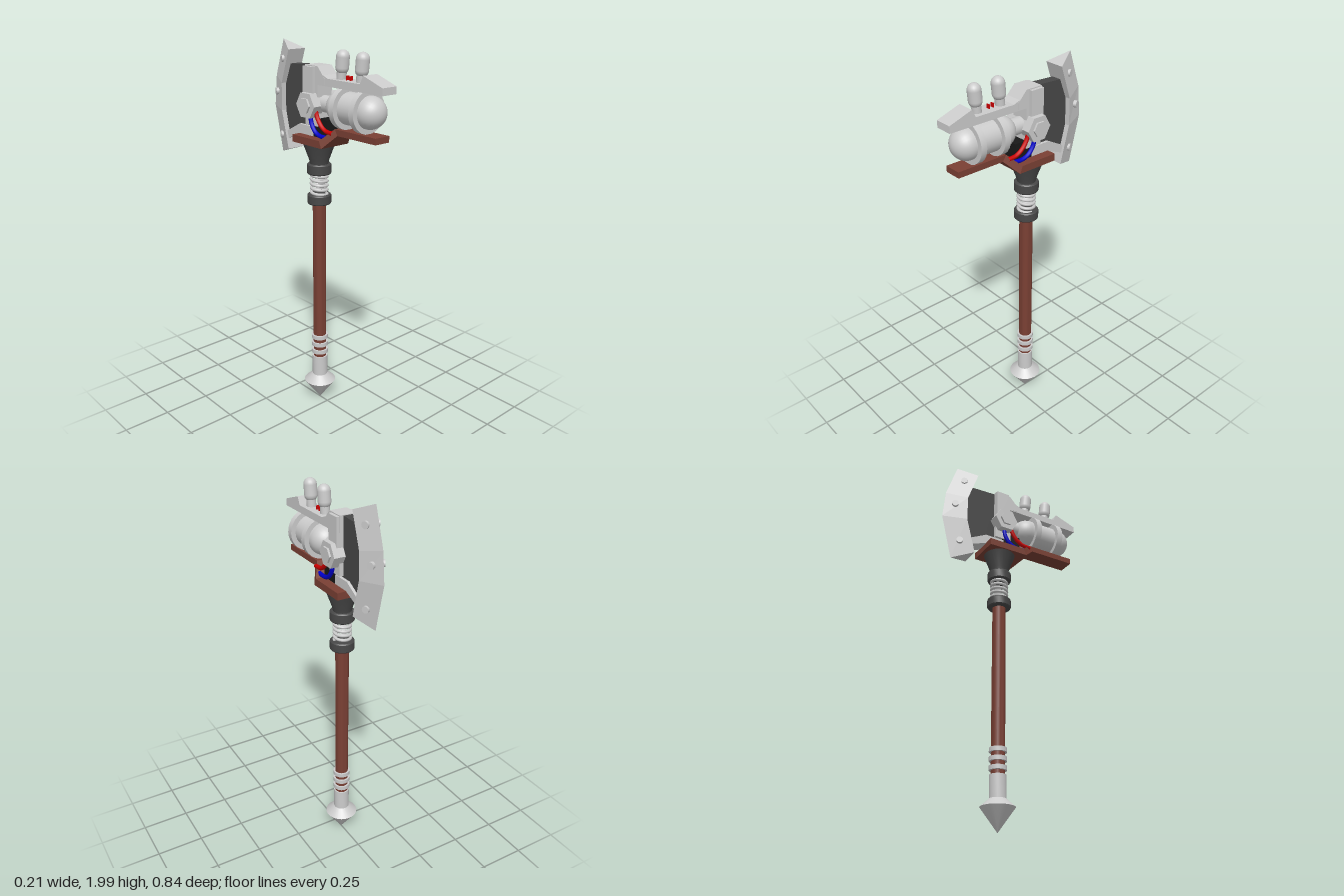
import * as THREE from 'three';
import { toCreasedNormals } from 'three/addons/utils/BufferGeometryUtils.js';

const AXIS_Z = -0.063; // handle axis
const mat = (color) => new THREE.MeshStandardMaterial({ color, side: THREE.DoubleSide });

export function createModel() {
  const root = new THREE.Group();
  const grey = mat(0xcccccc), dark = mat(0x484848), black = mat(0x181818);
  const brown = mat(0x7a4034), red = mat(0xcc0000), blue = mat(0x0000cc);

  const add = (name, geo, material, x = 0, y = 0, z = 0) => {
    const m = new THREE.Mesh(geo, material);
    m.name = name;
    m.position.set(x, y, z);
    root.add(m);
    return m;
  };
  // turned part around the handle axis, points are [radius, y]
  const turned = (name, pts, material, seg = 24) => add(name, toCreasedNormals(
    new THREE.LatheGeometry(pts.map((p) => new THREE.Vector2(...p)), seg), 0.6), material, 0, 0, AXIS_Z);
  // plate cut from a [z, y] outline, centred on x
  const plate = (pts, width) => {
    const shape = new THREE.Shape(pts.map((p) => new THREE.Vector2(...p)));
    return new THREE.ExtrudeGeometry(shape, { depth: width, bevelEnabled: false })
      .rotateY(-Math.PI / 2).translate(width / 2, 0, 0);
  };

  // handle
  turned('pommelSpike', [[0, 0.01], [0.087, 0.13], [0.042, 0.17], [0.042, 0.285], [0, 0.285]], grey);
  turned('shaft', [[0, 0.2], [0.035, 0.2], [0.035, 1.2], [0, 1.2]], brown);
  for (const y of [0.317, 0.362, 0.407])
    turned('gripRing', [[0.034, y - 0.011], [0.045, y - 0.011], [0.045, y + 0.011], [0.034, y + 0.011]], grey);
  for (const [a, b] of [[1.185, 1.237], [1.345, 1.4]])
    turned('collar', [[0, a], [0.058, a], [0.063, a + 0.006], [0.063, b - 0.006], [0.058, b], [0, b]], dark);
  turned('headSocket', [[0, 1.395], [0.047, 1.395], [0.052, 1.42], [0.085, 1.51], [0, 1.51]], dark);

  // spring between the collars
  const coil = [];
  const turns = 5;
  for (let i = 0; i <= turns * 12; i++) {
    const a = (i / 12) * Math.PI * 2;
    coil.push(new THREE.Vector3(Math.cos(a) * 0.042, 1.232 + (0.118 * i) / (turns * 12), Math.sin(a) * 0.042));
  }
  add('spring', new THREE.TubeGeometry(new THREE.CatmullRomCurve3(coil), turns * 24, 0.008, 8), grey, 0, 0, AXIS_Z);

  // wooden stock, narrower under the tank
  const stock = plate([[0.384, 1.577], [0.384, 1.608], [0.105, 1.608], [0.04, 1.545], [-0.167, 1.545],
    [-0.167, 1.508], [0.056, 1.508], [0.124, 1.577]].reverse(), 0.18);
  const sp = stock.attributes.position;
  for (let i = 0; i < sp.count; i++) if (sp.getZ(i) > 0.08) sp.setX(i, sp.getX(i) * 0.5);
  stock.computeVertexNormals();
  add('stock', stock, brown);

  // gas tank lying along z
  add('tank', new THREE.CapsuleGeometry(0.079, 0.195, 10, 28).rotateX(Math.PI / 2), grey, 0, 1.71, 0.205);
  add('tankNeck', new THREE.CylinderGeometry(0.042, 0.042, 0.1, 20).rotateX(Math.PI / 2), grey, 0, 1.71, 0.01);
  for (const z of [0.14, 0.278]) {
    const band = new THREE.LatheGeometry([[0.076, -0.016], [0.104, -0.016], [0.104, 0.016], [0.076, 0.016]]
      .map((p) => new THREE.Vector2(...p)), 28).rotateX(Math.PI / 2);
    add('tankBand', toCreasedNormals(band, 0.6), grey, 0, 1.71, z);
  }

  // top rail with raised front sight and the head block behind it
  add('topRail', plate([[0.42, 1.805], [0.42, 1.84], [0.295, 1.882], [0.275, 1.842], [0.055, 1.842],
    [0.02, 1.855], [-0.02, 1.855], [-0.02, 1.805]].reverse(), 0.09), grey);
  add('headBlock', plate([[0.03, 1.81], [0.03, 1.842], [-0.02, 1.895], [-0.113, 1.895], [-0.113, 1.6],
    [-0.02, 1.6], [-0.02, 1.81]].reverse(), 0.092), grey);
  add('headCheeks', new THREE.BoxGeometry(0.126, 0.2, 0.075), grey, 0, 1.79, -0.075);

  // round knobs leaning on the rail
  for (const z of [0.1, 0.235]) {
    const knob = new THREE.Group();
    knob.name = 'knob';
    knob.position.set(0, 1.835, z);
    knob.rotation.x = 0.1;
    const stem = new THREE.Mesh(new THREE.CylinderGeometry(0.024, 0.024, 0.06, 16), grey);
    stem.position.y = 0.025;
    const cap = new THREE.Mesh(new THREE.CapsuleGeometry(0.033, 0.05, 8, 20), grey);
    cap.position.y = 0.088;
    stem.name = 'knobStem';
    cap.name = 'knobCap';
    knob.add(stem, cap);
    root.add(knob);
  }
  for (const z of [0.145, 0.17]) add('railPin', new THREE.BoxGeometry(0.02, 0.025, 0.004), red, 0, 1.85, z);

  // side bolts and hoses, mirrored
  const tube = (pts, x) => new THREE.TubeGeometry(
    new THREE.CatmullRomCurve3(pts.map(([z, y]) => new THREE.Vector3(x, y, z))), 24, 0.011, 10);
  const hex = (r, w) => new THREE.CylinderGeometry(r, r, w, 6).toNonIndexed().rotateZ(Math.PI / 2);
  for (const s of [-1, 1]) {
    for (const [name, r, from, to] of [['hexBolt', 0.069, 0.02, 0.088], ['boltCap', 0.04, 0.08, 0.098]]) {
      const g = hex(r, to - from).rotateX(0);
      g.computeVertexNormals();
      add(name, g, grey, s * (from + to) / 2, 1.704, -0.066);
    }
    add('redHose', tube([[-0.025, 1.7], [-0.015, 1.655], [0.015, 1.612], [0.05, 1.59], [0.1, 1.585]], s * 0.055), red);
    add('blueHose', tube([[-0.066, 1.66], [-0.055, 1.61], [-0.025, 1.572], [0.015, 1.558], [0.07, 1.56]], s * 0.055), blue);
  }

  // dark blade web, lower brace and filler block
  add('bladeWeb', plate([[-0.09, 1.893], [-0.25, 1.885], [-0.3, 1.76], [-0.3, 1.64], [-0.27, 1.53],
    [-0.17, 1.59], [-0.09, 1.59]], 0.052), dark);
  add('fillerBlock', new THREE.BoxGeometry(0.08, 0.1, 0.11), black, 0, 1.59, -0.012);
  add('lowerBrace', plate([[-0.06, 1.593], [-0.17, 1.593], [-0.27, 1.54], [-0.27, 1.5], [-0.165, 1.543],
    [-0.06, 1.543]], 0.082), grey);

  // cutting edge: triangular sections [innerZ, innerY, outerZ, outerY]
  const stations = [[-0.232, 1.957, -0.337, 2.0], [-0.292, 1.785, -0.402, 1.81],
    [-0.294, 1.645, -0.418, 1.655], [-0.245, 1.45, -0.36, 1.41]];
  const sections = stations.map(([iz, iy, oz, oy]) => [[-0.054, iy, iz], [0.054, iy, iz], [0, oy, oz]]);
  const v = [];
  const tri = (a, b, c) => v.push(...a, ...b, ...c);
  for (let i = 0; i < 3; i++) {
    for (let j = 0; j < 3; j++) {
      const a = sections[i][j], b = sections[i][(j + 1) % 3];
      const c = sections[i + 1][j], d = sections[i + 1][(j + 1) % 3];
      tri(a, c, b);
      tri(b, c, d);
    }
  }
  tri(...sections[0]);
  tri(sections[3][0], sections[3][2], sections[3][1]);
  const edge = new THREE.BufferGeometry();
  edge.setAttribute('position', new THREE.Float32BufferAttribute(v, 3));
  edge.computeVertexNormals();
  add('bladeEdge', edge, grey);

  // rivets standing on both bevels of the edge
  for (const [y, z] of [[1.905, -0.305], [1.735, -0.356], [1.512, -0.322]]) {
    for (const s of [-1, 1]) {
      const g = new THREE.CylinderGeometry(0.018, 0.018, 0.024, 12).rotateZ(Math.PI / 2).rotateY(s * 0.44);
      add('rivet', g, grey, s * 0.028, y, z);
    }
  }
  return root;
}
